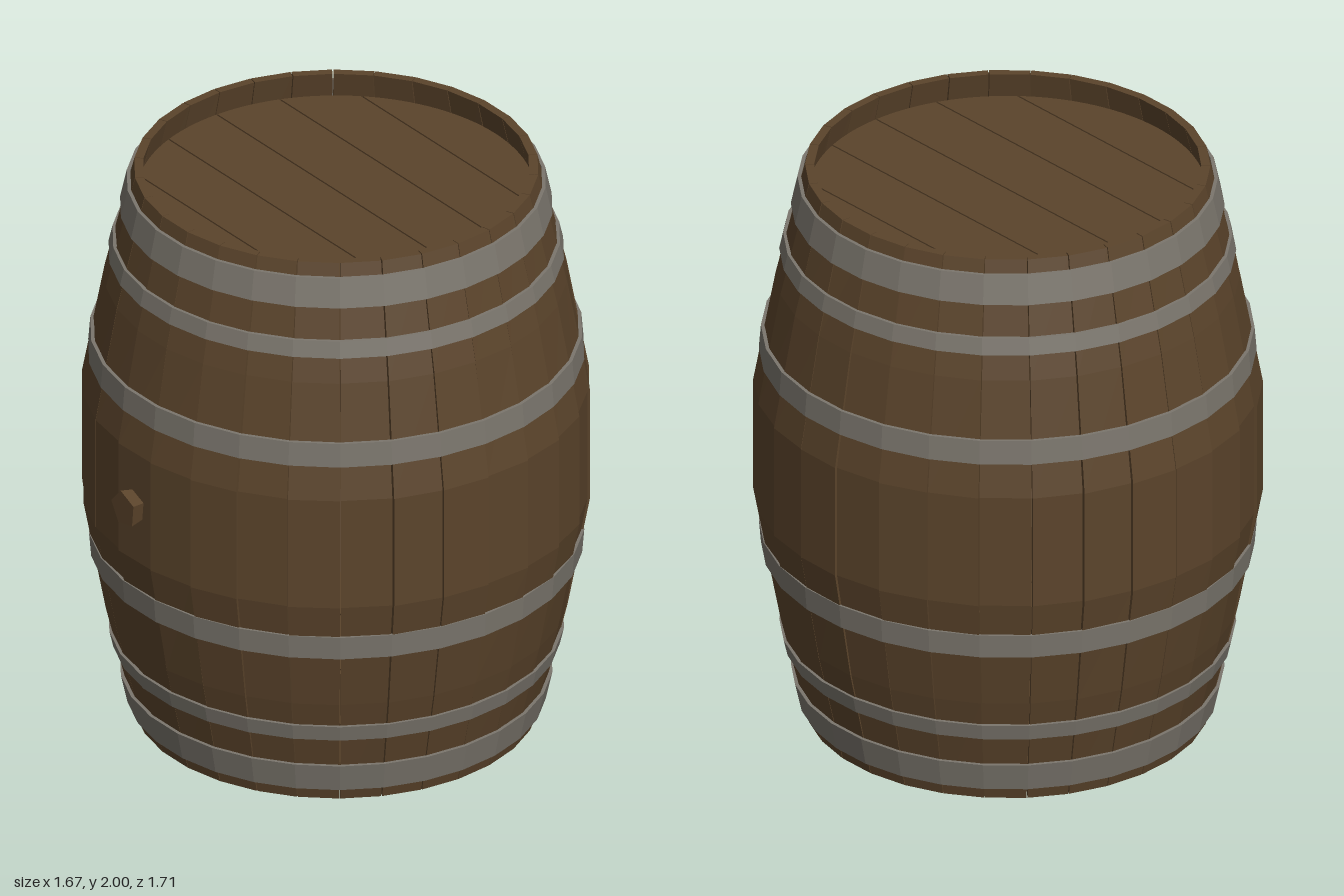
import * as THREE from 'three';

const STAVES = 30;
const STEP = (Math.PI * 2) / STAVES;
const HEIGHT = 2;
const RADII = [0.665, 0.76, 0.832, 0.832, 0.76, 0.665]; // outer radius at evenly spaced heights
const WALL = 0.03;

function seeded(seed) {
  return () => (seed = (seed * 16807) % 2147483647) / 2147483647;
}

// A box bent round the barrel axis: x becomes angle, y the bulging height, z the wall
function staveGeometry(index, rand) {
  const rows = RADII.length - 1;
  const geo = new THREE.BoxGeometry(1, 1, 1, 1, rows, 1);
  const pos = geo.attributes.position;
  const gap = 0.0015 + rand() * 0.002;
  const bump = [0, 1].map(() => rand() * 0.02 - 0.01);
  for (let i = 0; i < pos.count; i++) {
    const side = pos.getX(i) > 0 ? 1 : 0;
    const t = pos.getY(i) + 0.5;
    const belly = Math.max(0, Math.sin(Math.PI * t) - 0.3);
    const r = RADII[Math.round(t * rows)] + bump[side] * belly - (pos.getZ(i) > 0 ? 0 : WALL);
    const a = index * STEP + (side ? 1 : -1) * (STEP / 2 - gap);
    pos.setXYZ(i, r * Math.sin(a), t * HEIGHT, r * Math.cos(a));
  }
  geo.computeVertexNormals();
  return geo;
}

// Closed metal band between two heights, following the slope of the staves
function hoopGeometry(y0, y1, r0, r1) {
  const t = 0.012;
  const profile = [[r0, y0], [r1, y1], [r1 - t, y1], [r0 - t, y0], [r0, y0]];
  return new THREE.LatheGeometry(profile.map(p => new THREE.Vector2(...p)), STAVES, STEP / 2);
}

// Head board: a strip of a disc between two chords
function boardGeometry(a, b, radius, thickness) {
  const shape = new THREE.Shape();
  const angle = v => Math.asin(THREE.MathUtils.clamp(v / radius, -1, 1));
  const a0 = angle(a), a1 = angle(b);
  shape.absarc(0, 0, radius, a0, a1, false);
  shape.absarc(0, 0, radius, Math.PI - a1, Math.PI - a0, false);
  shape.closePath();
  const geo = new THREE.ExtrudeGeometry(shape, { depth: thickness, bevelEnabled: false, curveSegments: 8 });
  return geo.rotateX(-Math.PI / 2);
}

export function createModel() {
  const model = new THREE.Group();
  model.name = 'barrel';
  const wood = new THREE.MeshStandardMaterial({ name: 'brown wood', color: 0x5b442b, flatShading: true });
  const iron = new THREE.MeshStandardMaterial({ name: 'grey iron', color: 0x7b766d, flatShading: true });
  const rand = seeded(4217);

  // The bung sticks out in front, so the body sits slightly behind the centre
  const body = new THREE.Group();
  body.name = 'body';
  body.position.z = -0.018;
  model.add(body);

  const add = (parent, name, geo, mat) => {
    const mesh = new THREE.Mesh(geo, mat);
    mesh.name = name;
    parent.add(mesh);
    return mesh;
  };

  // Staves
  const staves = new THREE.Group();
  staves.name = 'staves';
  body.add(staves);
  for (let i = 0; i < STAVES; i++) add(staves, `stave${i + 1}`, staveGeometry(i, rand), wood);

  // Hoops, mirrored about the belly
  const hoops = [
    ['endHoop', 0.045, 0.145, 0.69, 0.712],
    ['quarterHoop', 0.255, 0.312, 0.737, 0.75],
    ['bellyHoop', 0.598, 0.682, 0.81, 0.817],
  ];
  for (const [name, y0, y1, r0, r1] of hoops) {
    add(body, `${name}Lower`, hoopGeometry(y0, y1, r0, r1), iron);
    add(body, `${name}Upper`, hoopGeometry(HEIGHT - y1, HEIGHT - y0, r1, r0), iron);
  }

  // Recessed heads made of six boards each
  const boards = 6, radius = 0.652, width = 0.228, thickness = 0.04;
  for (const [name, y] of [['topHead', 1.87], ['bottomHead', 0.09]]) {
    const head = new THREE.Group();
    head.name = name;
    head.position.y = y;
    body.add(head);
    for (let i = 0; i < boards; i++) {
      const a = i === 0 ? -radius : (i - boards / 2) * width + 0.003;
      const b = i === boards - 1 ? radius : (i + 1 - boards / 2) * width - 0.003;
      add(head, `headBoard${i + 1}`, boardGeometry(a, b, radius, thickness), wood);
    }
  }

  // Five-sided bung in the front of the belly
  const bung = new THREE.CylinderGeometry(0.065, 0.05, 0.07, 5, 1, false, -Math.PI / 2 - 0.1);
  bung.rotateX(Math.PI / 2);
  add(model, 'bung', bung, wood).position.set(0, 1.005, 0.822);

  return model;
}
